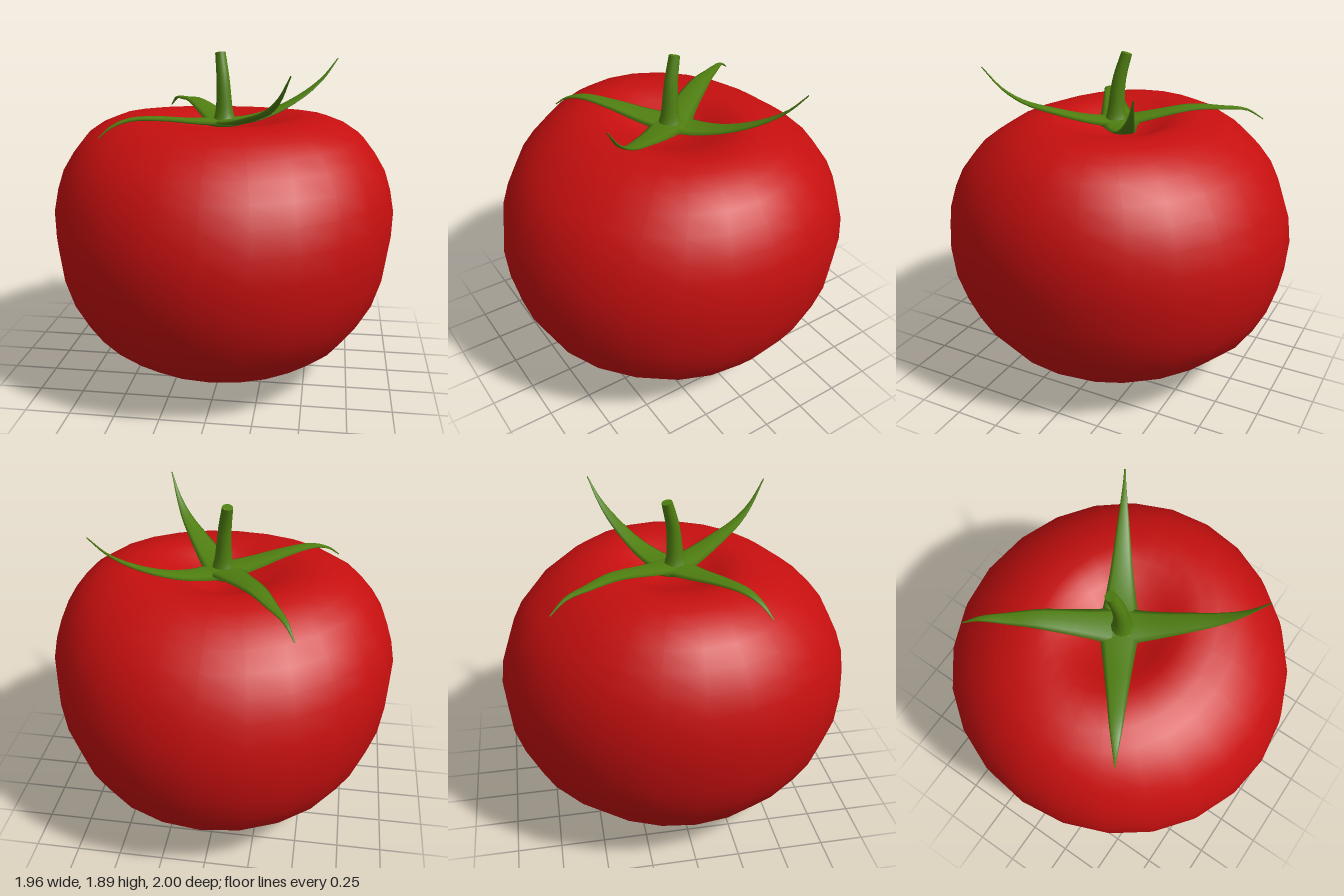
import * as THREE from 'three';
import { mergeVertices } from 'three/addons/utils/BufferGeometryUtils.js';

const red = new THREE.MeshStandardMaterial({ color: 0xc60f0f });
red.name = 'tomato red';
const green = new THREE.MeshStandardMaterial({ color: 0x4f7f10 });
green.name = 'leaf green';

// Fruit profile from base to dimple: height, radius in x, radius in z
const PROFILE = [
  [0, 0, 0], [0, 0.22, 0.22], [0.03, 0.38, 0.31], [0.08, 0.49, 0.43], [0.15, 0.6, 0.58],
  [0.25, 0.73, 0.73], [0.37, 0.82, 0.865], [0.51, 0.9, 0.935], [0.67, 0.95, 0.985],
  [0.85, 0.975, 1], [1, 0.98, 0.98], [1.13, 0.955, 0.935], [1.24, 0.92, 0.88],
  [1.34, 0.86, 0.8], [1.43, 0.79, 0.7], [1.49, 0.7, 0.61], [1.53, 0.6, 0.5],
  [1.545, 0.5, 0.4], [1.535, 0.4, 0.32], [1.5, 0.3, 0.25], [1.46, 0.2, 0.18],
  [1.43, 0.1, 0.1], [1.42, 0, 0],
];

function fruitGeometry() {
  const g = new THREE.LatheGeometry(PROFILE.map(([y, rx]) => new THREE.Vector2(rx, y)), 24);
  const pos = g.attributes.position;
  for (let i = 0; i < pos.count; i++) {
    const [y, rx, rz] = PROFILE[i % PROFILE.length];
    if (rx === 0) continue;
    const s = pos.getZ(i) / rx;
    pos.setZ(i, s * rz);
    // The rim dips a little at the front and back
    if (y > 1.4) pos.setY(i, y - 0.015 * s * s);
  }
  g.deleteAttribute('uv');
  g.deleteAttribute('normal');
  const welded = mergeVertices(g, 1e-4);
  welded.computeVertexNormals();
  return welded;
}

// Sweeps an elliptical section along a curve; size(t) gives [half width, half thickness]
function sweep(curve, size, ref, steps = 16, sides = 8) {
  const pos = [], index = [];
  for (let i = 0; i <= steps; i++) {
    const t = i / steps;
    const p = curve.getPoint(t), tangent = curve.getTangent(t);
    const side = new THREE.Vector3().crossVectors(tangent, ref).normalize();
    const up = new THREE.Vector3().crossVectors(side, tangent);
    const [w, h] = size(t);
    for (let j = 0; j < sides; j++) {
      const a = (j / sides) * Math.PI * 2;
      const v = p.clone().addScaledVector(side, w * Math.cos(a)).addScaledVector(up, h * Math.sin(a));
      pos.push(v.x, v.y, v.z);
      if (i < steps) {
        const k = (j + 1) % sides, r = i * sides, n = r + sides;
        index.push(r + j, n + j, r + k, r + k, n + j, n + k);
      }
    }
  }
  const g = new THREE.BufferGeometry();
  g.setAttribute('position', new THREE.Float32BufferAttribute(pos, 3));
  g.setIndex(index);
  g.computeVertexNormals();
  return g;
}

// Each sepal: horizontal tip, then [fraction of the way out, height]
const RISING_A = [[0, 1.5], [0.22, 1.505], [0.45, 1.545], [0.7, 1.63], [0.87, 1.72], [1, 1.83]];
const RISING_B = [[0, 1.5], [0.22, 1.52], [0.48, 1.57], [0.7, 1.625], [0.86, 1.705], [1, 1.83]];
const RESTING = [[0, 1.5], [0.25, 1.515], [0.5, 1.54], [0.75, 1.548], [0.9, 1.515], [1, 1.46]];
const ARCHED = [[0, 1.5], [0.2, 1.53], [0.5, 1.572], [0.7, 1.565], [0.88, 1.55], [1, 1.49]];
const SEPALS = [
  ['sepalBackLeft', 0.635, -0.4, RISING_A],
  ['sepalFrontLeft', 0.41, 0.62, RISING_B],
  ['sepalFrontRight', -0.625, 0.4, RESTING],
  ['sepalBackRight', -0.445, -0.7, ARCHED],
];

export function createModel() {
  const group = new THREE.Group();
  group.name = 'tomato';
  const add = (name, geometry, material) => {
    const mesh = new THREE.Mesh(geometry, material);
    mesh.name = name;
    group.add(mesh);
    return mesh;
  };

  add('fruit', fruitGeometry(), red);

  // Four tapering sepals
  const Y = new THREE.Vector3(0, 1, 0);
  for (const [name, x, z, path] of SEPALS) {
    const curve = new THREE.CatmullRomCurve3(path.map(([f, y]) => new THREE.Vector3(x * f, y, z * f)));
    const size = (t) => [0.004 + 0.106 * Math.pow(1 - t, 1.35), 0.003 + 0.016 * (1 - t)];
    add(name, sweep(curve, size, Y), green);
  }

  // Hub joining the sepals
  const hub = add('calyxHub', new THREE.SphereGeometry(0.125, 16, 8), green);
  hub.scale.y = 0.2;
  hub.position.y = 1.5;

  // Curved stem, flared at the base, with a flat cut end
  const stemCurve = new THREE.CatmullRomCurve3([
    new THREE.Vector3(0.005, 1.49, 0.015), new THREE.Vector3(0.003, 1.6, 0.012),
    new THREE.Vector3(-0.005, 1.74, 0), new THREE.Vector3(-0.025, 1.885, -0.035),
  ]);
  const stemSize = (t) => {
    const r = 0.03 + 0.022 * (1 - t) + 0.025 * Math.pow(1 - t, 8);
    return [r, r];
  };
  add('stem', sweep(stemCurve, stemSize, new THREE.Vector3(0, 0, 1), 10, 12), green);
  const cut = add('stemCut', new THREE.CircleGeometry(0.03, 12), green);
  cut.position.copy(stemCurve.getPoint(1));
  cut.quaternion.setFromUnitVectors(new THREE.Vector3(0, 0, 1), stemCurve.getTangent(1));

  return group;
}
